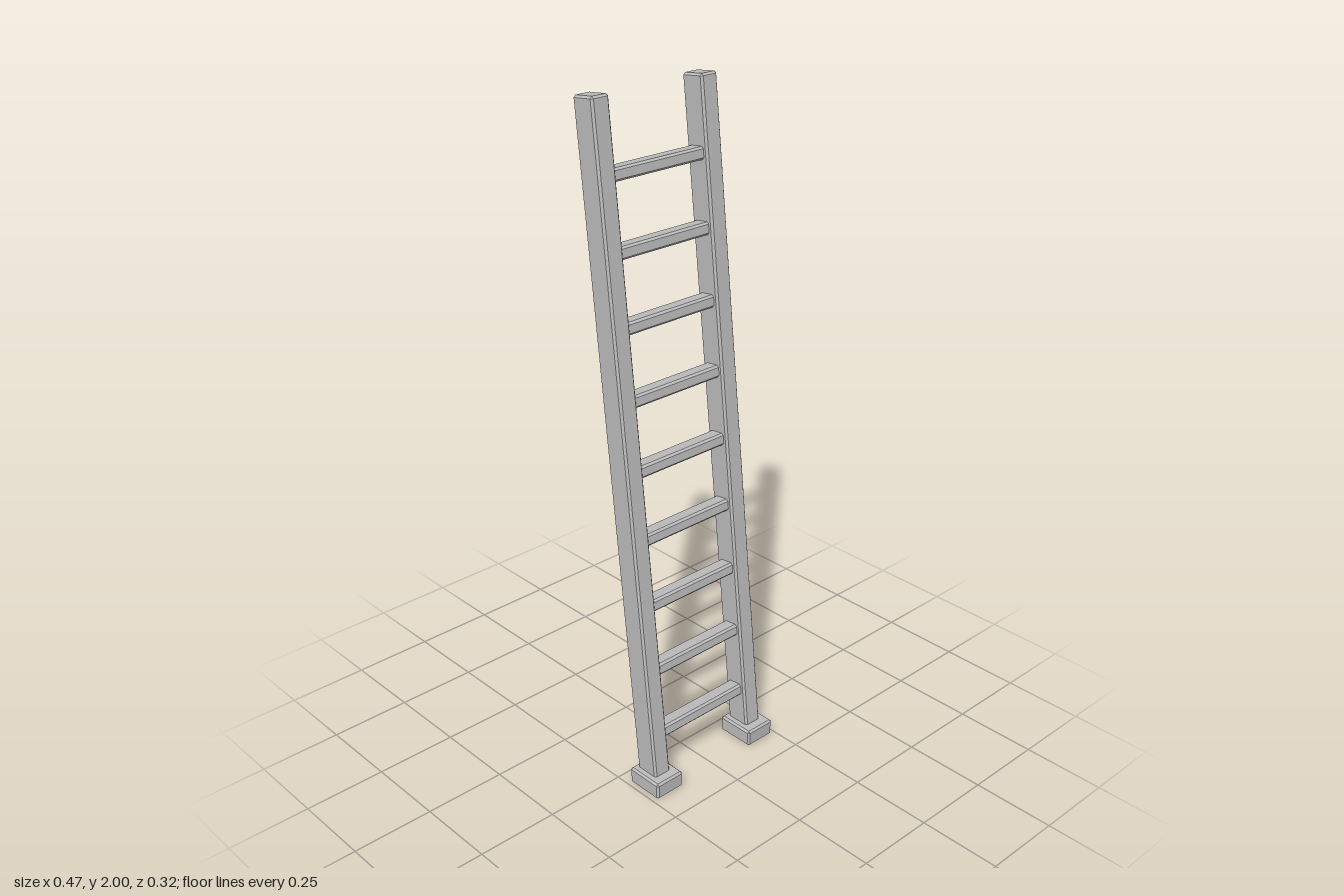
import * as THREE from 'three';
import { ConvexGeometry } from 'three/addons/geometries/ConvexGeometry.js';

// Box with a single flat chamfer on every edge
function chamferBox(w, h, d, c) {
  const pts = [];
  for (const sx of [-1, 1]) for (const sy of [-1, 1]) for (const sz of [-1, 1]) {
    const x = w / 2, y = h / 2, z = d / 2;
    pts.push(
      new THREE.Vector3(sx * x, sy * (y - c), sz * (z - c)),
      new THREE.Vector3(sx * (x - c), sy * y, sz * (z - c)),
      new THREE.Vector3(sx * (x - c), sy * (y - c), sz * z)
    );
  }
  return new ConvexGeometry(pts);
}

export function createModel() {
  const model = new THREE.Group();
  model.name = 'ladder';
  const grey = new THREE.MeshStandardMaterial({ color: 0xbcbcbc });
  grey.name = 'grey';

  function add(parent, name, geometry, x, y, z) {
    const mesh = new THREE.Mesh(geometry, grey);
    mesh.name = name;
    mesh.position.set(x, y, z);
    parent.add(mesh);
  }

  // Leaning frame, with its origin at the lowest rung
  const frame = new THREE.Group();
  frame.name = 'leaningFrame';
  frame.position.set(0, 0.167, 0.077);
  frame.rotation.x = -0.11;
  model.add(frame);

  const railX = 0.187, railBottom = -0.135, railTop = 1.841;
  const railGeo = chamferBox(0.058, railTop - railBottom, 0.076, 0.006);
  const footGeo = chamferBox(0.1, 0.052, 0.12, 0.006);
  const rungGeo = chamferBox(0.35, 0.036, 0.05, 0.006);

  // Side rails and their level feet
  for (const [side, s] of [['left', 1], ['right', -1]]) {
    add(frame, side + 'Rail', railGeo, s * railX, (railTop + railBottom) / 2, 0);
    add(model, side + 'Foot', footGeo, s * railX, 0.026, 0.1);
  }

  // Nine rungs
  for (let i = 0; i < 9; i++) add(frame, 'rung' + (i + 1), rungGeo, 0, i * 0.2041, 0);

  return model;
}
